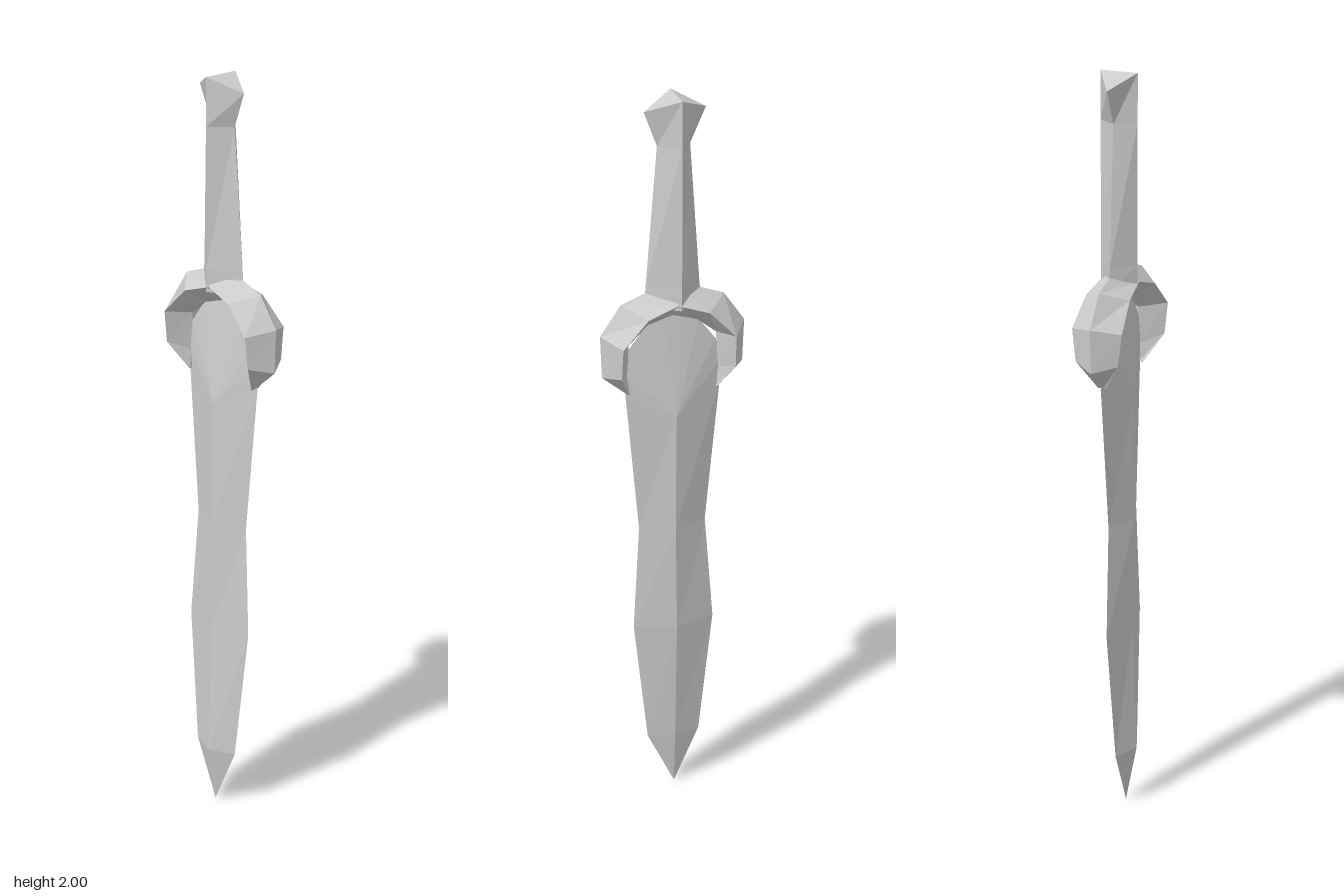
import * as THREE from 'three';

const material = new THREE.MeshStandardMaterial({ color: 0xcccccc, flatShading: true });

// Flat-shaded mesh from a list of triangles, skipping collapsed ones.
function facetMesh(name, triangles) {
  const solid = triangles.filter(([a, b, c]) =>
    b.clone().sub(a).cross(c.clone().sub(a)).length() > 1e-9);
  const geometry = new THREE.BufferGeometry().setFromPoints(solid.flat());
  geometry.computeVertexNormals();
  const mesh = new THREE.Mesh(geometry, material);
  mesh.name = name;
  return mesh;
}

const v = (x, y, z) => new THREE.Vector3(x, y, z);

// Triangles joining consecutive four-cornered sections.
function loft(rings) {
  const out = [];
  for (let r = 0; r < rings.length - 1; r++) {
    const low = rings[r], high = rings[r + 1];
    for (let i = 0; i < 4; i++) {
      const j = (i + 1) % 4;
      out.push([low[i], low[j], high[j]], [low[i], high[j], high[i]]);
    }
  }
  return out;
}

function createBlade() {
  // y of edges, y of ridges, front edge z, back edge z, edge x, left ridge x, right ridge x
  const rows = [
    [0.0, 0.0, -0.01, -0.01, -0.02, -0.02, -0.02],
    [0.16, 0.16, 0.065, -0.08, -0.02, 0.0, -0.05],
    [0.52, 0.52, 0.105, -0.115, -0.01, 0.025, -0.037],
    [0.82, 0.82, 0.09, -0.09, -0.005, 0.03, -0.04],
    [1.21, 1.15, 0.125, -0.125, 0, 0.036, -0.036],
  ];
  const rings = rows.map(([y, yr, zf, zb, x, xl, xr]) => {
    const z = (zf + zb) / 2;
    return [v(x, y, zf), v(xl, yr, z), v(x, y, zb), v(xr, yr, z)];
  });
  const triangles = loft(rings);

  // Rounded shoulder: a fan from each ridge top to the curved rim
  const half = [[0.125, 1.21], [0.128, 1.28], [0.115, 1.34], [0.07, 1.4], [0.02, 1.42]];
  const rim = [
    ...half.map(([z, y]) => v(0, y, -z)),
    ...half.slice().reverse().map(([z, y]) => v(0, y, z)),
  ];
  const top = rings[rings.length - 1];
  for (let i = 0; i < rim.length - 1; i++) {
    triangles.push([top[1], rim[i], rim[i + 1]], [top[3], rim[i + 1], rim[i]]);
  }
  return facetMesh('blade', triangles);
}

function createGuard() {
  // outer z, y; side z, y, half width; inner z, y
  const half = [
    [0.115, 1.21, 0.115, 1.21, 0.012, 0.115, 1.21],
    [0.186, 1.27, 0.15, 1.285, 0.058, 0.12, 1.26],
    [0.19, 1.385, 0.148, 1.37, 0.068, 0.115, 1.36],
    [0.135, 1.465, 0.08, 1.44, 0.06, 0.065, 1.4],
    [0, 1.515, 0, 1.465, 0.05, 0, 1.42],
  ];
  const mirrored = half.slice(0, -1).reverse()
    .map(([oz, oy, sz, sy, w, iz, iy]) => [-oz, oy, -sz, sy, w, -iz, iy]);
  const rings = [...half, ...mirrored].map(([oz, oy, sz, sy, w, iz, iy]) =>
    [v(0, oy, oz), v(w, sy, sz), v(0, iy, iz), v(-w, sy, sz)]);
  return facetMesh('guard', loft(rings));
}

// Diamond section whose side corners may sit higher than its front and back ones.
const diamond = (y, zf, zb, sideY = y) =>
  [v(0, y, zf), v(0.05, sideY, -0.01), v(0, y, zb), v(-0.05, sideY, -0.01)];

function createGrip() {
  return facetMesh('grip', loft([diamond(1.45, 0.075, -0.075), diamond(1.51, 0.07, -0.07),
    diamond(1.875, 0.04, -0.045)]));
}

function createPommel() {
  const top = diamond(1.965, 0.073, -0.085, 2);
  const triangles = loft([diamond(1.875, 0.04, -0.045), top]);
  // Roof-shaped cap with its ridge along x
  triangles.push([top[0], top[1], top[3]], [top[1], top[2], top[3]]);
  return facetMesh('pommel', triangles);
}

export function createModel() {
  const group = new THREE.Group();
  group.name = 'sword';
  group.add(createBlade(), createGuard(), createGrip(), createPommel());
  return group;
}
